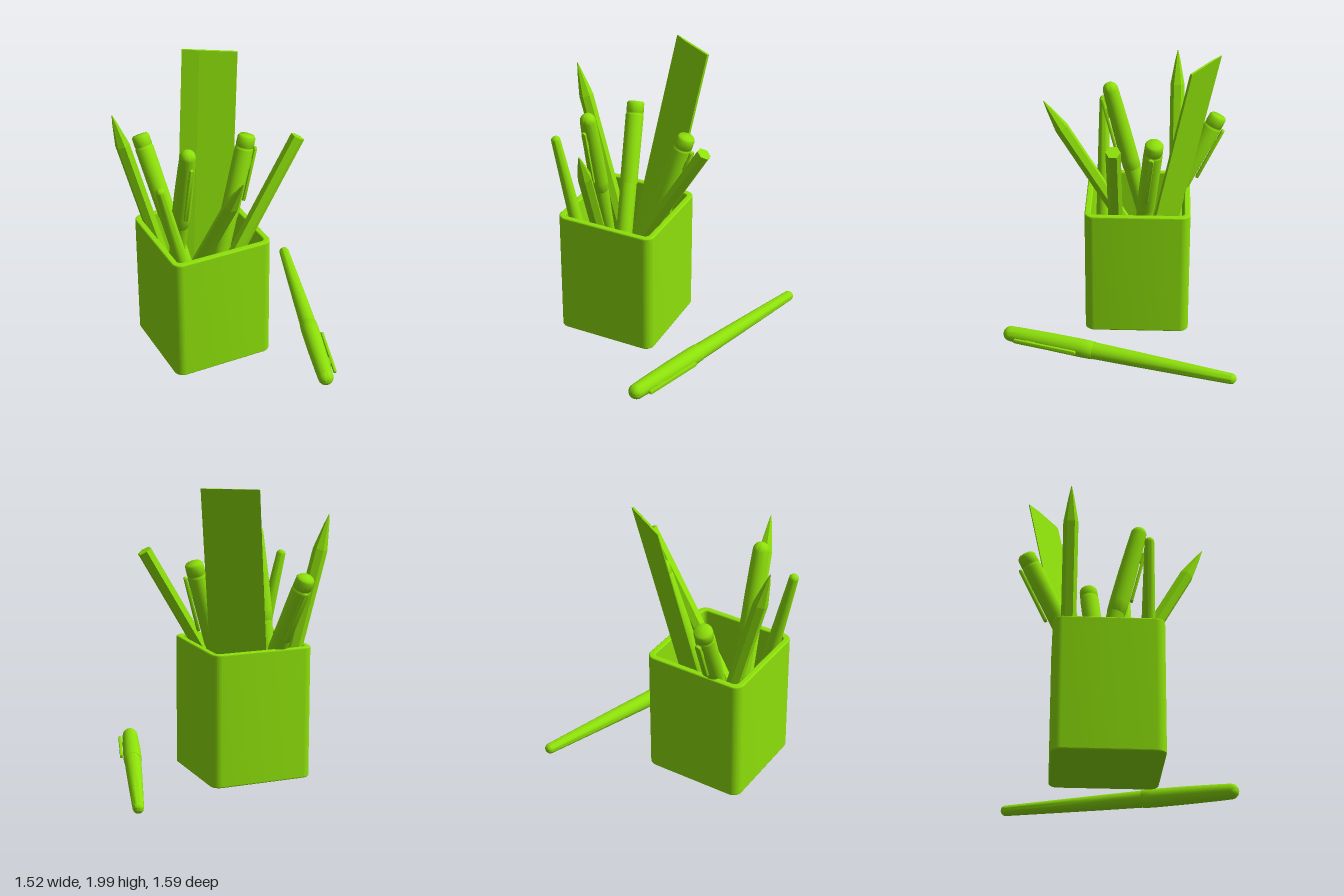
import * as THREE from 'three';
import { toCreasedNormals } from 'three/addons/utils/BufferGeometryUtils.js';

const mat = new THREE.MeshStandardMaterial({ color: 0x8de00a });
const V = (x, y, z) => new THREE.Vector3(x, y, z);

function mesh(name, geometry, parent) {
  const m = new THREE.Mesh(geometry, mat);
  m.name = name;
  parent.add(m);
  return m;
}

function named(name) {
  const g = new THREE.Group();
  g.name = name;
  return g;
}

// Stands a +y aligned object between two points, its +z side turned to "facing"
function place(obj, bottom, top, facing) {
  const y = top.clone().sub(bottom).normalize();
  const x = y.clone().cross(facing).normalize();
  obj.quaternion.setFromRotationMatrix(new THREE.Matrix4().makeBasis(x, y, x.clone().cross(y)));
  obj.position.copy(bottom);
  return obj;
}

// Profile points of a rounded end; sign +1 closes the top, -1 the bottom
function dome(r, y, h, sign) {
  const pts = [];
  for (let i = 0; i <= 7; i++) {
    const a = (i / 7) * Math.PI / 2;
    pts.push([i === 7 ? 0 : r * Math.cos(a), y + sign * h * Math.sin(a)]);
  }
  return sign > 0 ? pts : pts.reverse();
}

function lathe(points, segments, crease) {
  const g = new THREE.LatheGeometry(points.map(p => new THREE.Vector2(...p)), segments);
  return toCreasedNormals(g, crease);
}

function roundedSquare(w, r, PathType = THREE.Shape) {
  const h = w / 2, s = new PathType();
  s.moveTo(h, -h + r);
  s.lineTo(h, h - r).absarc(h - r, h - r, r, 0, Math.PI / 2);
  s.lineTo(-h + r, h).absarc(-h + r, h - r, r, Math.PI / 2, Math.PI);
  s.lineTo(-h, -h + r).absarc(-h + r, -h + r, r, Math.PI, Math.PI * 1.5);
  s.lineTo(h - r, -h).absarc(h - r, -h + r, r, Math.PI * 1.5, Math.PI * 2);
  return s;
}

function cup() {
  const g = named('cup');
  const wall = roundedSquare(0.715, 0.065);
  wall.holes.push(roundedSquare(0.63, 0.03, THREE.Path));
  const b = 0.01;
  const walls = new THREE.ExtrudeGeometry(wall, {
    depth: 0.9 - 2 * b, curveSegments: 16,
    bevelSize: b, bevelThickness: b, bevelOffset: -b, bevelSegments: 3,
  }).rotateX(-Math.PI / 2).translate(0, b, 0);
  mesh('cupWalls', toCreasedNormals(walls, 0.2), g);
  const floor = new THREE.ExtrudeGeometry(roundedSquare(0.66, 0.045), { depth: 0.04, bevelEnabled: false });
  mesh('cupFloor', floor.rotateX(-Math.PI / 2), g);
  g.position.set(-0.255, 0.02, -0.122);
  return g;
}

// Round-ended clip from y0 to y1, standing off the +z side, with a short post
function clip(parent, y0, y1, z, w) {
  const r = w / 2, s = new THREE.Shape();
  s.moveTo(r, y0 + r);
  s.lineTo(r, y1 - r).absarc(0, y1 - r, r, 0, Math.PI);
  s.lineTo(-r, y0 + r).absarc(0, y0 + r, r, Math.PI, Math.PI * 2);
  const g = new THREE.ExtrudeGeometry(s, {
    depth: 0.012, curveSegments: 8, bevelSize: 0.004, bevelThickness: 0.004, bevelOffset: -0.004, bevelSegments: 2,
  });
  mesh('clip', toCreasedNormals(g, 0.6), parent).position.z = z;
  mesh('clipPost', new THREE.BoxGeometry(w * 0.7, 0.07, 0.06), parent).position.set(0, y1 - 0.12, z - 0.025);
}

// Capped pen, slim end at y = 0, cap at the top
function pen() {
  const g = named('pen');
  mesh('penBarrel', lathe([...dome(0.036, 0.035, 0.035, -1), [0.044, 0.35], [0.052, 0.7], [0.058, 1.02], [0, 1.03]], 32, 0.6), g);
  mesh('penCap', lathe([
    [0, 1.0], [0.059, 1.0], [0.061, 1.004], [0.063, 1.08], [0.061, 1.3], [0.056, 1.52], ...dome(0.053, 1.605, 0.055, 1),
  ], 32, 0.6), g);
  clip(g, 1.105, 1.56, 0.069, 0.03);
  return g;
}

// Straight marker with a stepped, softly rounded cap
function marker(L) {
  const g = named('marker');
  mesh('markerBarrel', lathe([[0, 0], [0.05, 0], [0.058, 0.02], [0.058, L - 0.56], [0, L - 0.56]], 16, 0.6), g);
  mesh('markerCap', lathe([
    [0, L - 0.58], [0.062, L - 0.58], [0.064, L - 0.1], [0.062, L - 0.09], [0.06, L - 0.088],
    [0.06, L - 0.078], [0.062, L - 0.075], [0.061, L - 0.014], [0.051, L], [0, L + 0.002],
  ], 16, 1), g);
  clip(g, L - 0.47, L - 0.075, 0.072, 0.04);
  return g;
}

// Six-sided pencil, with or without a sharpened top
function pencil(L, sharp) {
  const g = named('pencil'), r = 0.049, tip = sharp ? 0.24 : 0;
  const part = (name, r0, r1, y0, y1) => {
    const c = new THREE.CylinderGeometry(r1, r0, y1 - y0, 6).translate(0, (y0 + y1) / 2, 0);
    mesh(name, toCreasedNormals(c, 0.5), g);
  };
  part('pencilBody', r, r, 0, L - tip);
  if (sharp) {
    part('pencilCone', r, 0.018, L - tip, L - 0.07);
    part('pencilLead', 0.018, 0.002, L - 0.07, L);
  }
  return g;
}

// Ruler with one thin bevelled edge, cut level at the top
function ruler() {
  const s = new THREE.Shape([[0, 0.016], [0.375, 0.016], [0.375, 0], [0.12, 0], [0, 0.01]].map(p => new THREE.Vector2(...p)));
  const geo = new THREE.ExtrudeGeometry(s, { depth: 1, bevelEnabled: false });
  // Width, thickness (to the back) and length follow slanted directions
  const w = V(0.32, 0, 0.195).normalize(), t = V(w.z, 0, -w.x);
  geo.applyMatrix4(new THREE.Matrix4().makeBasis(w, t, V(0.27, 1.94, -0.38)));
  geo.computeVertexNormals();
  const m = new THREE.Mesh(geo, mat);
  m.name = 'ruler';
  m.position.set(-0.41, 0.06, -0.266);
  return m;
}

export function createModel() {
  const model = named('penHolder');
  model.add(cup(), ruler());

  // Sharpened pencils and one blunt end up
  const pencils = [
    [V(-0.295, 0.06, -0.38), V(-0.76, 1.78, -0.38), V(0, 0, 1), true],
    [V(-0.475, 0.06, -0.33), V(-0.258, 1.605, 0.52), V(1, 0, 0), true],
    [V(-0.42, 0.172, 0.028), V(0.387, 1.545, 0.028), V(0, 0, 1), false],
  ];
  for (const [a, b, facing, sharp] of pencils) model.add(place(pencil(a.distanceTo(b), sharp), a, b, facing));

  // Pens: cap up, cap down, and one lying beside the cup
  model.add(place(pen(), V(-0.435, 0.06, -0.318), V(-0.435, 1.66, 0.087), V(0, 0, 1)));
  const down = place(pen(), V(-0.66, 1.475, 0.13), V(-0.325, 0.06, 0.13), V(1, 0, 0));
  down.scale.setScalar(0.88);
  const lying = place(pen(), V(0.737, 0.067, -0.793), V(0.237, 0.075, 0.785), V(1, 0, 0));
  lying.name = 'lyingPen';
  model.add(down, lying);

  // Markers
  const markers = [
    [V(-0.265, 0.07, 0.03), V(-0.457, 1.425, -0.665), V(0, 0, -1)],
    [V(-0.28, 0.07, -0.09), V(0.143, 1.49, -0.232), V(1, 0, 0.15)],
  ];
  for (const [a, b, facing] of markers) model.add(place(marker(a.distanceTo(b)), a, b, facing));
  return model;
}
